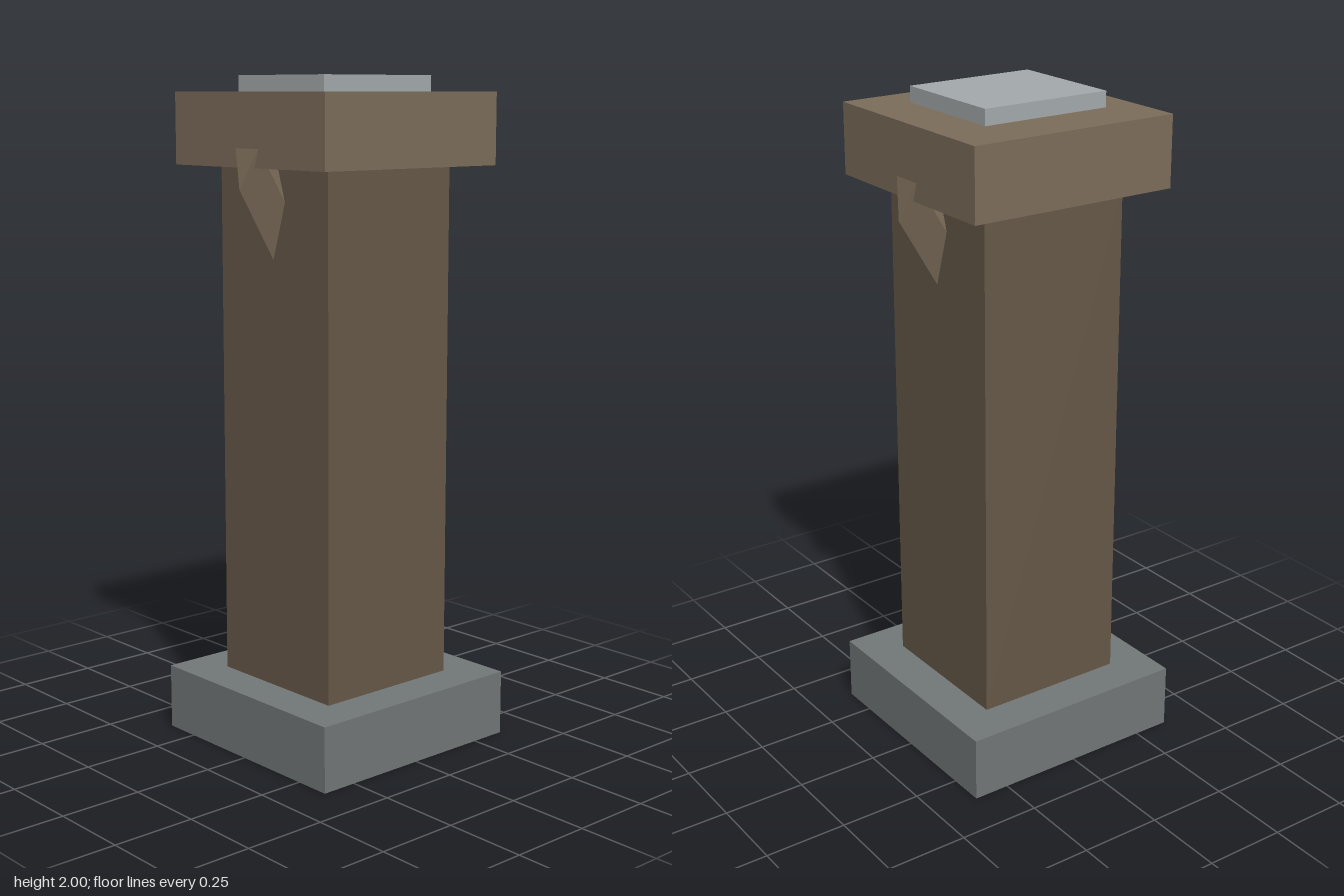
import * as THREE from 'three';

export function createModel() {
  const model = new THREE.Group();
  const mat = (color) => new THREE.MeshStandardMaterial({ color, flatShading: true });
  const darkWood = mat(0x665848), wood = mat(0x7c6d5a), stone = mat(0x727777), paleStone = mat(0xa4aaac);

  // Axis-aligned block given by its extents
  function block(name, material, [x0, x1], [y0, y1], [z0, z1]) {
    const mesh = new THREE.Mesh(new THREE.BoxGeometry(x1 - x0, y1 - y0, z1 - z0), material);
    mesh.position.set((x0 + x1) / 2, (y0 + y1) / 2, (z0 + z1) / 2);
    mesh.name = name;
    model.add(mesh);
  }

  block('base', stone, [-0.362, 0.362], [0, 0.197], [-0.362, 0.362]);
  block('post', darkWood, [-0.237, 0.237], [0.197, 1.742], [-0.237, 0.237]);
  block('cap', wood, [-0.332, 0.332], [1.742, 1.953], [-0.332, 0.332]);
  // Off-centre slab on top of the cap
  block('topSlab', paleStone, [-0.232, 0.18], [1.953, 2], [-0.16, 0.215]);

  // Slanted diamond-section braces: a skewed box spanned from its outer tip
  const along = new THREE.Vector3(0.2, 0.333, 0);
  const sideA = new THREE.Vector3(-0.029, 0.118, -0.052);
  const sideB = new THREE.Vector3(-0.029, 0.118, 0.052);
  const tip = new THREE.Vector3(0.36, 1.682, 0);
  const centre = tip.clone().addScaledVector(along, -0.5).addScaledVector(sideA, 0.5).addScaledVector(sideB, 0.5);
  const braceGeometry = new THREE.BoxGeometry(1, 1, 1)
    .applyMatrix4(new THREE.Matrix4().makeBasis(along, sideA, sideB).setPosition(centre));
  for (const [name, turn] of [['leftBrace', 0], ['rightBrace', Math.PI]]) {
    const brace = new THREE.Mesh(braceGeometry, wood);
    brace.rotation.y = turn;
    brace.name = name;
    model.add(brace);
  }
  return model;
}
